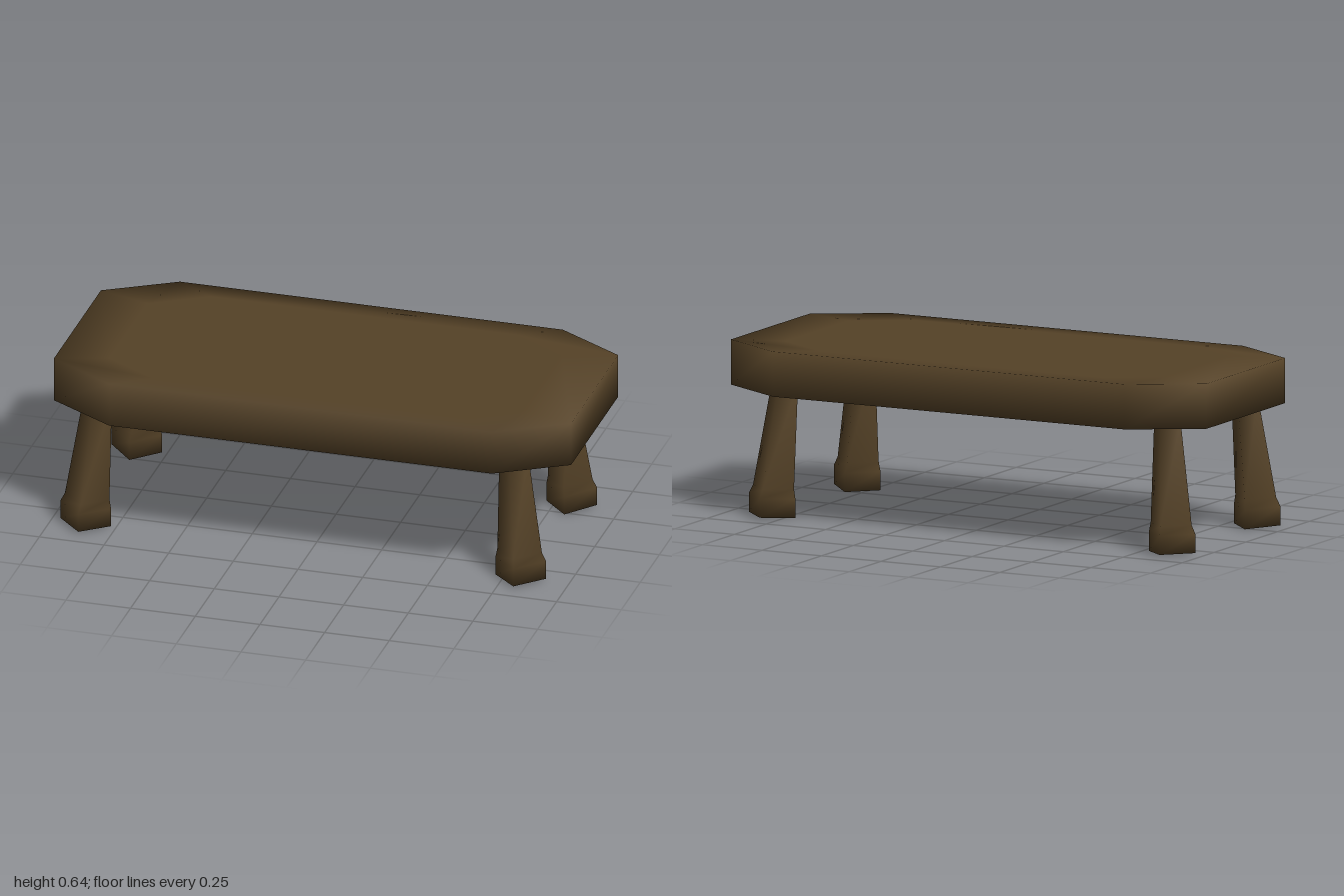
import * as THREE from 'three';

// Smooth closed loft through polygon rings of [x, y, z], capped at both ends.
function loft(rings) {
  const n = rings[0].length;
  const index = [];
  for (let r = 0; r < rings.length - 1; r++) {
    for (let i = 0; i < n; i++) {
      const j = (i + 1) % n;
      const a = r * n + i, b = r * n + j, c = a + n, d = b + n;
      index.push(a, c, b, b, c, d);
    }
  }
  const last = (rings.length - 1) * n;
  for (let i = 1; i < n - 1; i++) {
    index.push(0, i, i + 1);
    index.push(last, last + i + 1, last + i);
  }
  const geometry = new THREE.BufferGeometry();
  geometry.setAttribute('position', new THREE.Float32BufferAttribute(rings.flat(2), 3));
  geometry.setIndex(index);
  geometry.computeVertexNormals();
  return geometry;
}

export function createModel() {
  const model = new THREE.Group();
  model.name = 'table';
  const wood = new THREE.MeshStandardMaterial({ color: 0x554227 });
  wood.name = 'dark wood';

  const add = (name, geometry) => {
    const mesh = new THREE.Mesh(geometry, wood);
    mesh.name = name;
    model.add(mesh);
  };

  // Table top: long octagon slab, inset rings keep the middle flat and the rim soft
  const outline = [
    [1, 0.31], [0.74, 0.465], [-0.74, 0.465], [-1, 0.31],
    [-1, -0.31], [-0.74, -0.465], [0.74, -0.465], [1, -0.31],
  ];
  const slab = (y, s) => outline.map(([x, z]) => [x * s, y, z * s]);
  add('tableTop', loft([slab(0.475, 0.8), slab(0.475, 1), slab(0.645, 1), slab(0.645, 0.8)]));

  // Legs: square posts set cornerwise, splayed outwards, each with a block foot.
  // Sections: [height, centre x offset, centre z, half diagonal, outward tilt]
  const sections = [
    [0.004, 0.035, 0.335, 0.098, 0.004],
    [0.075, 0.035, 0.335, 0.098, 0.004],
    [0.11, 0.03, 0.333, 0.086, 0.002],
    [0.5, -0.002, 0.303, 0.055, 0],
  ];
  for (const [side, baseX] of [['left', 0.778], ['right', 0.834]]) {
    for (const [end, sz] of [['front', 1], ['back', -1]]) {
      const sx = side === 'left' ? 1 : -1;
      const rings = sections.map(([y, dx, z, r, tilt]) =>
        [[1, 0], [0, 1], [-1, 0], [0, -1]].map(([u, v]) => [
          sx * (baseX + dx) + u * r,
          y + tilt * (u * sx + v * sz),
          sz * z + v * r,
        ]));
      add(`${end}${side === 'left' ? 'Left' : 'Right'}Leg`, loft(rings));
    }
  }
  return model;
}
